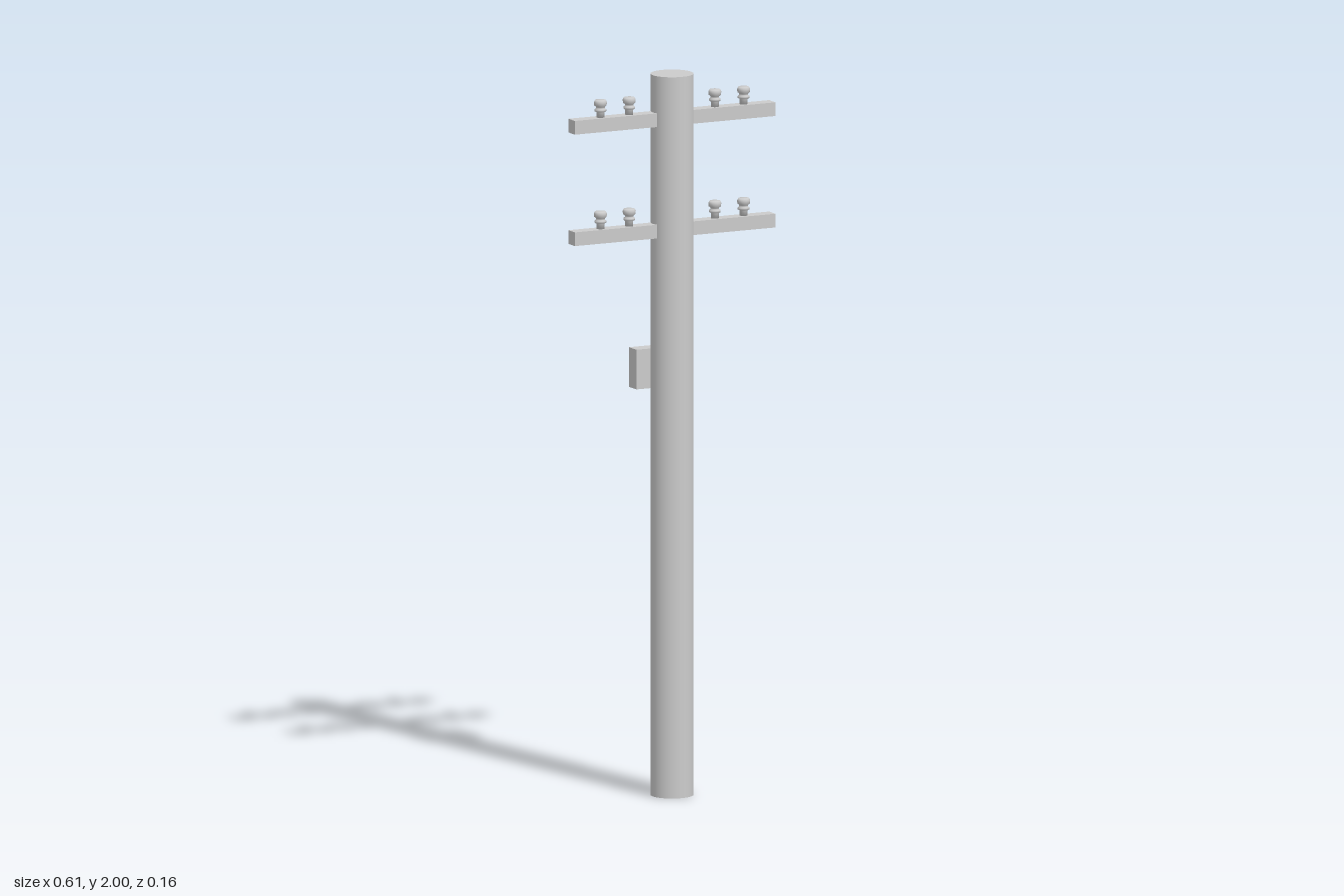
import * as THREE from 'three';

const Z = 0.022; // depth of the pole axis
const R = 0.059;

export function createModel() {
  const group = new THREE.Group();
  const grey = new THREE.MeshStandardMaterial({ color: 0xcccccc });
  const greyDouble = new THREE.MeshStandardMaterial({ color: 0xcccccc, side: THREE.DoubleSide });

  const add = (name, geometry, x, y, z, material = grey) => {
    const mesh = new THREE.Mesh(geometry, material);
    mesh.name = name;
    mesh.position.set(x, y, z);
    group.add(mesh);
    return mesh;
  };

  // Pole: tube open at the foot, closed by a disc on top
  add('pole', new THREE.CylinderGeometry(R, R, 2, 32, 1, true), 0, 1, Z, greyDouble);
  add('poleTop', new THREE.CircleGeometry(R, 32).rotateX(-Math.PI / 2), 0, 2, Z);

  // Insulator: narrow stem, ridged body and a wider rim
  const profile = [
    [0, 0], [0.011, 0], [0.011, 0.014], [0.016, 0.017], [0.016, 0.022],
    [0.012, 0.025], [0.012, 0.029], [0.017, 0.033], [0.018, 0.042],
    [0.015, 0.048], [0, 0.048],
  ].map(([r, y]) => new THREE.Vector2(r, y));
  const insulatorGeometry = new THREE.LatheGeometry(profile, 16);

  // Two crossarms, each carrying two insulators per side
  const armGeometry = new THREE.BoxGeometry(0.614, 0.038, 0.038);
  for (const armTop of [1.897, 1.588]) {
    add('crossarm', armGeometry, 0, armTop - 0.019, Z);
    for (const x of [-0.219, -0.131, 0.131, 0.219]) {
      add('insulator', insulatorGeometry, x, armTop, Z);
    }
  }

  // Equipment box on the back: solid body and a raised frame around the panel
  const w = 0.156, h = 0.11, rim = 0.015, lip = 0.006;
  add('boxBody', new THREE.BoxGeometry(w, h, 0.044 - lip), 0, 1.175, -0.058);

  const rectangle = (path, a, b) => path
    .moveTo(-a, -b).lineTo(a, -b).lineTo(a, b).lineTo(-a, b).closePath();
  const frame = rectangle(new THREE.Shape(), w / 2, h / 2);
  frame.holes.push(rectangle(new THREE.Path(), w / 2 - rim, h / 2 - rim));
  add('boxFrame', new THREE.ExtrudeGeometry(frame, { depth: lip, bevelEnabled: false }), 0, 1.175, -0.083);

  return group;
}
